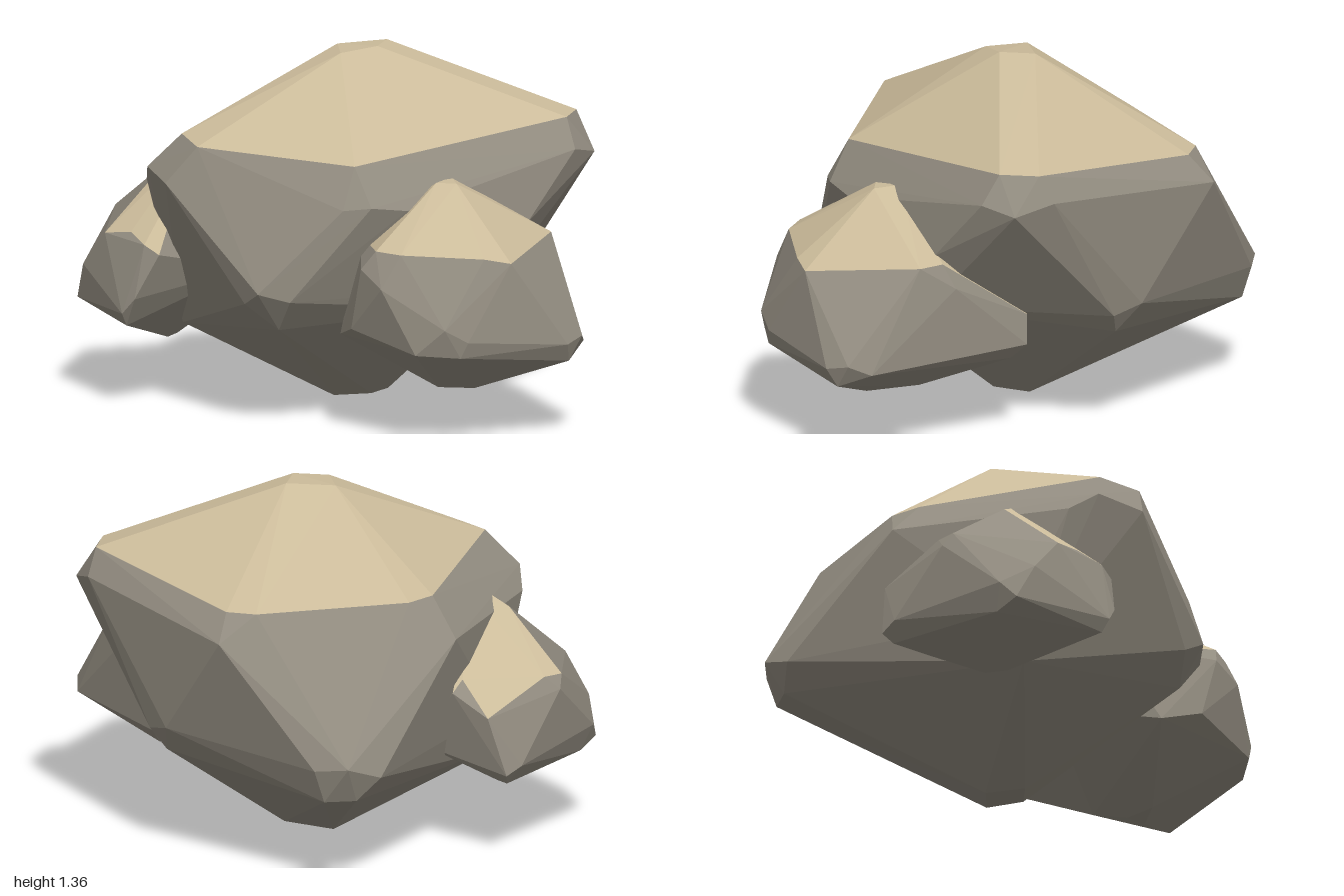
import * as THREE from 'three';
import { ConvexGeometry } from 'three/addons/geometries/ConvexGeometry.js';

const stone = new THREE.MeshStandardMaterial({ color: 0x928c80 });
stone.name = 'greyStone';
const sand = new THREE.MeshStandardMaterial({ color: 0xcbbb9a });
sand.name = 'sandyTop';

// Faceted boulder: convex hull of its chipped corners, sandy on the facets that face up
function boulder(name, corners, upLimit) {
  const hull = new ConvexGeometry(corners.map((c) => new THREE.Vector3(...c)));
  const p = hull.attributes.position;
  const sides = [], tops = [];
  const tri = new THREE.Triangle(), n = new THREE.Vector3();
  for (let i = 0; i < p.count; i += 3) {
    tri.setFromAttributeAndIndices(p, i, i + 1, i + 2);
    tri.getNormal(n);
    const list = n.y > upLimit ? tops : sides;
    for (const v of [tri.a, tri.b, tri.c]) list.push(v.x, v.y, v.z);
  }
  const geo = new THREE.BufferGeometry();
  geo.setAttribute('position', new THREE.Float32BufferAttribute([...sides, ...tops], 3));
  geo.computeVertexNormals();
  geo.addGroup(0, sides.length / 3, 0);
  geo.addGroup(sides.length / 3, tops.length / 3, 1);
  const mesh = new THREE.Mesh(geo, [stone, sand]);
  mesh.name = name;
  return mesh;
}

export function createModel() {
  const group = new THREE.Group();
  group.name = 'boulderCluster';

  group.add(boulder('mainBoulder', [
    // crown
    [0.06, 1.355, -0.02], [-0.07, 1.335, -0.08], [0.17, 1.355, -0.1], [0.02, 1.34, -0.21],
    // shoulder
    [-0.04, 1.0, -0.68], [0.09, 1.0, -0.69], [0.66, 1.02, -0.46], [0.72, 1.02, -0.36],
    [0.68, 1.1, 0.4], [0.56, 1.1, 0.49], [-0.36, 1.005, 0.36],
    [-0.69, 1.04, -0.17], [-0.635, 1.06, -0.33],
    // chips below the shoulder
    [0.54, 0.99, 0.565], [0.67, 0.96, 0.52], [0.74, 1.0, 0.38], [0.805, 0.92, -0.41],
    [-0.03, 0.86, -0.82], [-0.22, 0.84, 0.5], [-0.36, 0.86, 0.46],
    [-0.44, 0.85, 0.39], [-0.78, 0.9, -0.25], [-0.72, 0.93, -0.43], [-0.65, 0.86, -0.52],
    // lower corners
    [0.57, 0.48, -0.87], [0.43, 0.43, -0.9], [0.65, 0.47, -0.77], [0.6, 0.34, -0.77],
    [0.5, 0.34, -0.84], [0.76, 0.51, -0.07], [0.69, 0.4, 0.0], [0.73, 0.48, 0.05],
    [0.3, 0.74, 0.575], [0.2, 0.5, 0.5], [0.1, 0.42, 0.44],
    [-0.69, 0.53, 0.19], [-0.6, 0.5, 0.27], [-0.58, 0.38, 0.18], [-0.68, 0.48, 0.1],
    [-0.44, 0.45, -0.6], [-0.45, 0.28, -0.55],
    // foot
    [0.04, 0.0, -0.22], [-0.07, 0.02, -0.12], [0.16, 0.025, -0.08], [0.03, 0.03, -0.02],
  ], 0.75));

  group.add(boulder('frontBoulder', [
    // crown
    [-0.08, 0.93, 0.5], [0.02, 0.935, 0.47], [-0.03, 0.93, 0.56],
    // shoulder
    [-0.05, 0.68, 0.91], [-0.14, 0.7, 0.86], [0.33, 0.72, 0.68], [0.35, 0.72, 0.58],
    [-0.42, 0.72, 0.56], [-0.38, 0.715, 0.66], [-0.2, 0.7, 0.2], [0.2, 0.7, 0.22],
    // side corners
    [-0.46, 0.65, 0.52], [-0.46, 0.59, 0.64], [0.4, 0.63, 0.56],
    [0.15, 0.36, 1.0], [0.24, 0.38, 0.975], [0.3, 0.345, 0.91], [0.18, 0.29, 0.97],
    [-0.33, 0.45, 0.86], [-0.25, 0.4, 0.9], [-0.27, 0.34, 0.88], [-0.4, 0.35, 0.77],
    [-0.45, 0.41, 0.45], [-0.38, 0.36, 0.3],
    [0.5, 0.37, 0.28], [0.48, 0.48, 0.26], [0.44, 0.31, 0.31], [0.0, 0.45, 0.1],
    // foot
    [0.0, 0.145, 0.53], [-0.11, 0.16, 0.55], [0.0, 0.155, 0.63], [0.1, 0.16, 0.45],
  ], 0.72));

  group.add(boulder('backBoulder', [
    // crown
    [-0.45, 0.87, -0.66], [-0.42, 0.91, -0.58], [-0.36, 0.91, -0.56], [-0.45, 0.88, -0.53],
    // shoulder
    [-0.45, 0.67, -0.95], [-0.37, 0.67, -0.94], [-0.73, 0.64, -0.67], [-0.71, 0.66, -0.54],
    [-0.1, 0.68, -0.78], [-0.04, 0.64, -0.79],
    // side corners
    [-0.42, 0.62, -0.975], [-0.2, 0.37, -1.0], [-0.13, 0.34, -0.99], [-0.09, 0.56, -0.93],
    [-0.16, 0.3, -0.96], [-0.73, 0.5, -0.8], [-0.7, 0.36, -0.87], [-0.65, 0.42, -0.91],
    [-0.61, 0.32, -0.88], [-0.81, 0.37, -0.47], [-0.79, 0.43, -0.42], [-0.78, 0.32, -0.48],
    [-0.735, 0.63, -0.43], [-0.72, 0.6, -0.36], [-0.3, 0.5, -0.35], [-0.05, 0.4, -0.6],
    // foot
    [-0.45, 0.21, -0.64], [-0.37, 0.21, -0.68],
  ], 0.74));

  return group;
}
